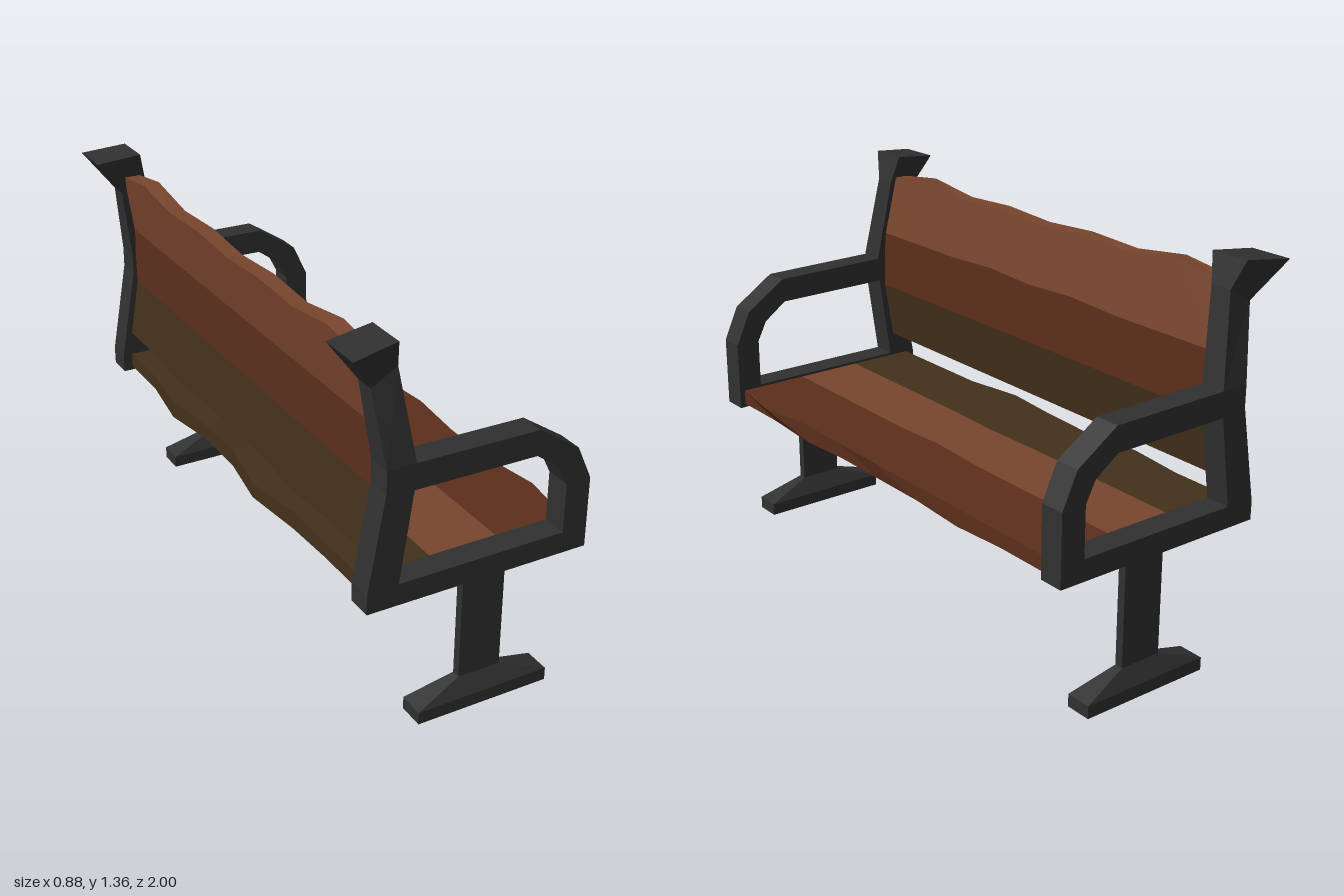
import * as THREE from 'three';

const mat = (color) => new THREE.MeshStandardMaterial({ color, flatShading: true, roughness: 0.9 });
const iron = mat(0x303030);
const planks = [mat(0x43301a), mat(0x5c2e1b), mat(0x78452d)]; // olive, dark brown, light brown

// Joins matching rings of points with flat quads; skip lists ring edges left open.
function loft(rings, skip = []) {
  const pos = [];
  const tri = (a, b, c) => pos.push(...a, ...b, ...c);
  const n = rings[0].length;
  for (let r = 0; r < rings.length - 1; r++) {
    for (let i = 0; i < n; i++) {
      if (skip.includes(i)) continue;
      const j = (i + 1) % n, a = rings[r], b = rings[r + 1];
      tri(a[i], a[j], b[j]);
      tri(a[i], b[j], b[i]);
    }
  }
  const first = rings[0], last = rings[rings.length - 1];
  for (let i = 1; i < n - 1; i++) {
    tri(first[0], first[i + 1], first[i]);
    tri(last[0], last[i], last[i + 1]);
  }
  const g = new THREE.BufferGeometry();
  g.setAttribute('position', new THREE.Float32BufferAttribute(pos, 3));
  g.computeVertexNormals();
  return g;
}

function add(parent, name, geometry, material) {
  const m = new THREE.Mesh(geometry, material);
  m.name = name;
  parent.add(m);
  return m;
}

const points = (list) => list.map(([x, y]) => new THREE.Vector2(x, y));

// Cast end frame; s = 1 or -1 picks the end of the bench.
function endFrame(s) {
  const g = new THREE.Group();
  const zs = (a, b) => (s > 0 ? [a, b] : [-b, -a]);

  // Closed loop: seat rail, lower back post and bent armrest
  const shape = new THREE.Shape(points([
    [-0.375, 0.48], [0.425, 0.48], [0.425, 0.73], [0.37, 0.85], [0.22, 0.95],
    [-0.215, 0.955], [-0.315, 0.955], [-0.315, 0.88], [-0.375, 0.545],
  ]));
  shape.holes.push(new THREE.Path(points([
    [-0.265, 0.555], [-0.22, 0.866], [0.215, 0.862], [0.3, 0.8], [0.335, 0.73], [0.335, 0.555],
  ])));
  const loop = new THREE.ExtrudeGeometry(shape, { depth: 0.09, bevelEnabled: false });
  loop.translate(0, 0, zs(0.885, 0.975)[0]);
  add(g, 'armFrame', loop, iron);

  // Upper back post flaring into its cap: [xBack, yBack, xFront, yFront, zInBack, zOutBack, zInFront, zOutFront]
  const post = [
    [-0.315, 0.955, -0.215, 0.955, 0.885, 0.975, 0.885, 0.975],
    [-0.35, 1.21, -0.262, 1.26, 0.865, 0.935, 0.855, 0.935],
    [-0.445, 1.34, -0.285, 1.357, 0.845, 1.0, 0.83, 0.975],
  ].map(([xb, yb, xf, yf, a, b, c, d]) => {
    const [b0, b1] = zs(a, b), [f0, f1] = zs(c, d);
    return [[xb, yb, b0], [xb, yb, b1], [xf, yf, f1], [xf, yf, f0]];
  });
  add(g, 'backPost', loft(post), iron);

  // Foot plate tapering into a slim leg: [x0, x1, y, zIn, zOut]
  const leg = [
    [-0.18, 0.305, 0, 0.885, 0.978],
    [-0.18, 0.305, 0.045, 0.885, 0.978],
    [-0.015, 0.14, 0.105, 0.917, 0.947],
    [-0.015, 0.14, 0.49, 0.917, 0.947],
  ].map(([x0, x1, y, a, b]) => {
    const [z0, z1] = zs(a, b);
    return [[x0, y, z0], [x0, y, z1], [x1, y, z1], [x1, y, z0]];
  });
  add(g, 'legAndFoot', loft(leg), iron);
  return g;
}

// Wooden slab of three strips along z; corner(k, i) gives both face points of line k at station i.
function slab(name, colors, corner) {
  const g = new THREE.Group();
  g.name = name;
  for (let k = 0; k < 3; k++) {
    const rings = [];
    for (let i = 0; i <= 8; i++) {
      const z = (i - 4) * 0.2225;
      const [a0, b0] = corner(k, i), [a1, b1] = corner(k + 1, i);
      rings.push([a0, a1, b1, b0].map(([x, y]) => [x, y, z]));
    }
    const skip = [];
    if (k < 2) skip.push(1);
    if (k > 0) skip.push(3);
    add(g, name + 'Strip' + (k + 1), loft(rings, skip), planks[colors[k]]);
  }
  return g;
}

export function createModel() {
  const model = new THREE.Group();
  model.name = 'bench';

  for (const s of [1, -1]) {
    const frame = endFrame(s);
    frame.name = s > 0 ? 'frontEndFrame' : 'rearEndFrame';
    model.add(frame);
  }

  // Seat, with uneven hewn edges
  const seatX = [-0.34, -0.095, 0.15, 0.405];
  const backEdge = [0, 0, -0.025, 0, 0, -0.035, 0, 0, 0];
  const frontEdge = [0, 0, 0, 0.003, 0.015, 0.003, 0, 0.035, 0];
  model.add(slab('seat', [0, 2, 1], (k, i) => {
    let x = seatX[k];
    if (k === 0) x += backEdge[i];
    if (k === 1 && i === 4) x += 0.02;
    const top = 0.546 + (i === 4 ? 0.009 : 0);
    const bottom = 0.493 - (i === 2 || i === 6 ? 0.012 : 0);
    return [[x, bottom], [k === 3 ? x + frontEdge[i] : x, top]];
  }));

  // Backrest, following the bend of the posts
  const restY = [0.635, 0.845, 1.055, 1.268];
  const restX = [-0.28, -0.245, -0.248, -0.285];
  const topEdge = [0, 0.035, 0, 0.012, -0.004, 0.012, 0, 0.035, 0];
  model.add(slab('backrest', [0, 1, 2], (k, i) => {
    let front = restY[k], back = restY[k];
    if (k === 3) {
      front += topEdge[i];
      back += topEdge[i] * 0.8;
    }
    if (k === 2 && (i === 3 || i === 5)) front += 0.01;
    if (k === 0 && (i === 2 || i === 6)) back -= 0.02;
    return [[restX[k], front], [restX[k] - 0.055, back]];
  }));

  return model;
}
